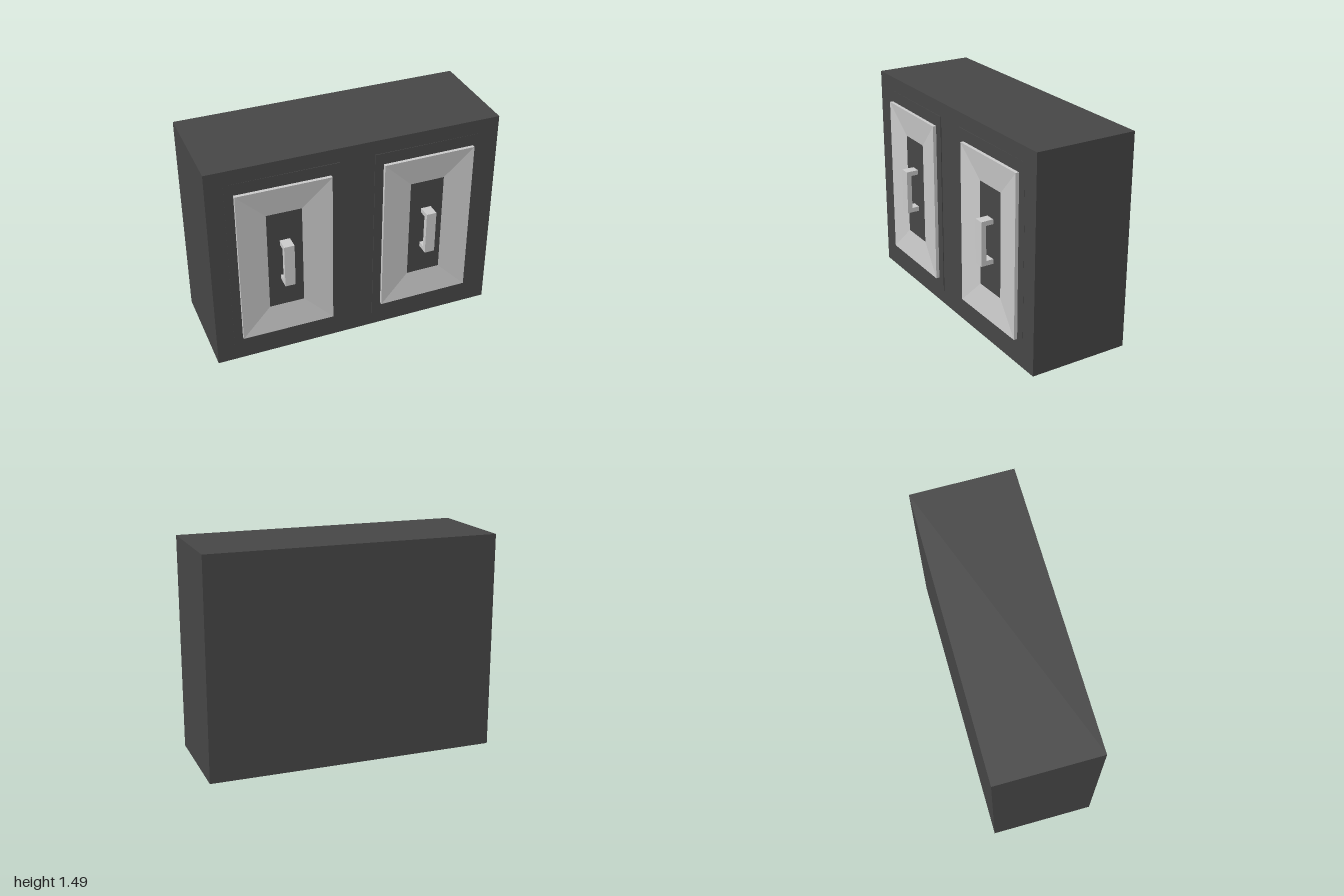
import * as THREE from 'three';

const dark = new THREE.MeshStandardMaterial({ color: 0x474747, flatShading: true });
const grey = new THREE.MeshStandardMaterial({ color: 0xcccccc, flatShading: true });

function box(name, material, w, h, d, x, y, z) {
  const mesh = new THREE.Mesh(new THREE.BoxGeometry(w, h, d), material);
  mesh.name = name;
  mesh.position.set(x, y, z);
  return mesh;
}

// Rectangular frame: upright outer walls, then a face sloping back in to the opening
function bevelFrame(w, h, rise, border) {
  const loops = [[w / 2, h / 2, 0], [w / 2, h / 2, rise], [w / 2 - border, h / 2 - border, 0]];
  const corners = [[-1, -1], [1, -1], [1, 1], [-1, 1]];
  const point = (i, j) => [corners[j % 4][0] * loops[i][0], corners[j % 4][1] * loops[i][1], loops[i][2]];
  const positions = [];
  for (let i = 0; i < 2; i++) {
    for (let j = 0; j < 4; j++) {
      const a = point(i, j), b = point(i, j + 1), c = point(i + 1, j + 1), d = point(i + 1, j);
      positions.push(...a, ...b, ...c, ...a, ...c, ...d);
    }
  }
  const geometry = new THREE.BufferGeometry();
  geometry.setAttribute('position', new THREE.Float32BufferAttribute(positions, 3));
  geometry.computeVertexNormals();
  return geometry;
}

// Square pull handle: a bar on two short legs
function createHandle() {
  const handle = new THREE.Group();
  handle.name = 'handle';
  handle.add(box('handleBar', grey, 0.07, 0.31, 0.035, 0, 0, 0.07));
  for (const s of [-1, 1]) {
    handle.add(box('handleLeg', grey, 0.07, 0.033, 0.054, 0, s * 0.1385, 0.026));
  }
  return handle;
}

// Door with its origin at the centre of the front face
function createDoor() {
  const door = new THREE.Group();
  door.add(box('doorPanel', dark, 0.76, 1.29, 0.03, 0, 0, -0.015));
  const frame = new THREE.Mesh(bevelFrame(0.64, 1.13, 0.024, 0.2), grey);
  frame.name = 'doorFrame';
  frame.position.z = 0.001;
  door.add(frame, createHandle());
  return door;
}

export function createModel() {
  const cabinet = new THREE.Group();
  cabinet.name = 'cabinet';
  cabinet.add(box('body', dark, 2, 1.49, 0.71, 0, 0.745, -0.045));

  // Two doors, opened a hair at their inner edges
  for (const s of [-1, 1]) {
    const door = createDoor();
    door.name = s > 0 ? 'leftDoor' : 'rightDoor';
    door.position.set(s * 0.5, 0.745, 0.313);
    door.rotation.y = s * 0.006;
    cabinet.add(door);
  }
  return cabinet;
}
